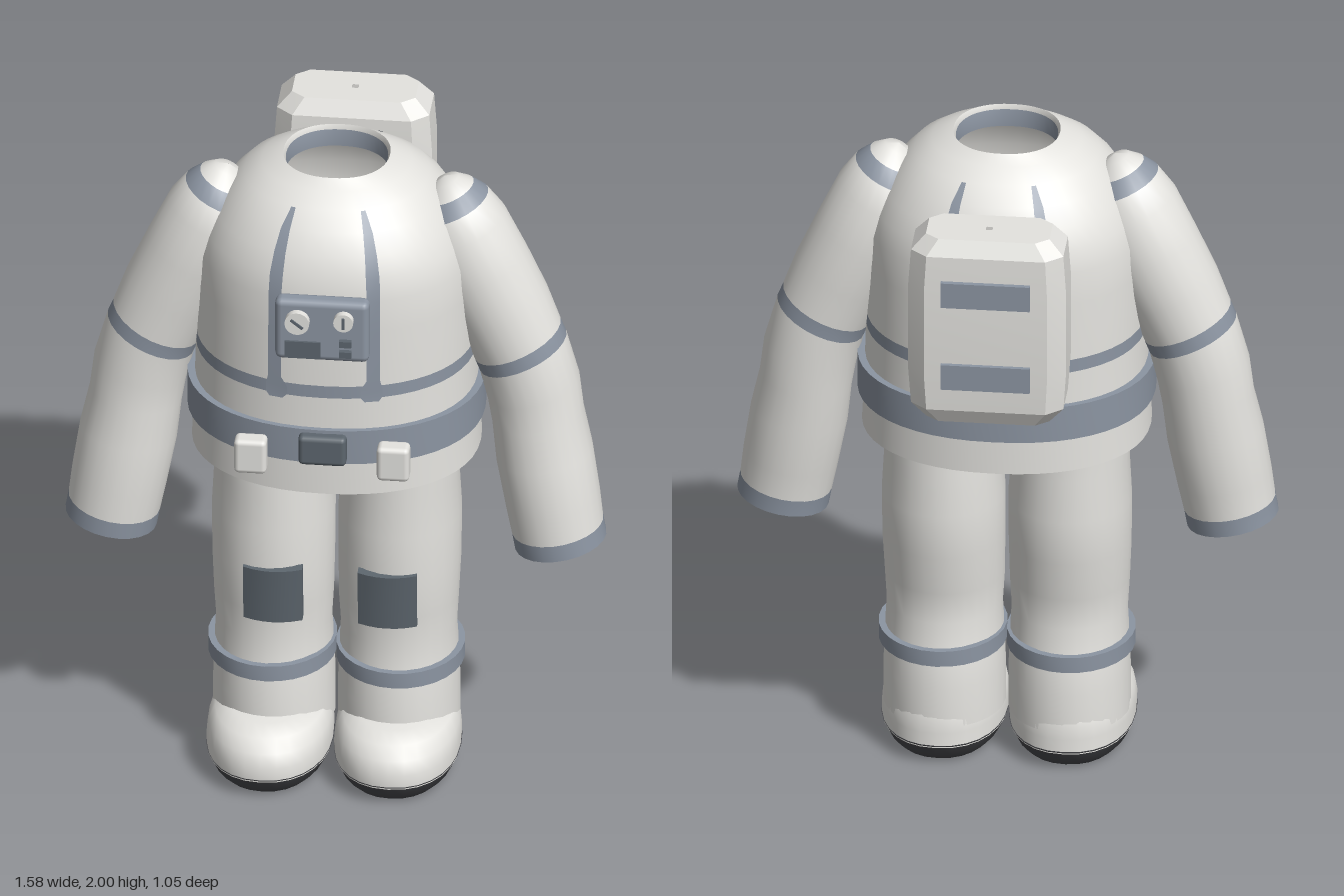
import * as THREE from 'three';
import { toCreasedNormals } from 'three/addons/utils/BufferGeometryUtils.js';
import { RoundedBoxGeometry } from 'three/addons/geometries/RoundedBoxGeometry.js';

const material = (name, color) => {
  const m = new THREE.MeshStandardMaterial({ color, side: THREE.DoubleSide });
  m.name = name;
  return m;
};

// Ring outlines: a superellipse, or a rectangle with cut corners
const oval = (segs, p = 2) => Array.from({ length: segs }, (_, i) => {
  const a = (i / segs) * Math.PI * 2, c = Math.cos(a), s = Math.sin(a);
  return [Math.sign(c) * Math.abs(c) ** (2 / p), Math.sign(s) * Math.abs(s) ** (2 / p)];
});
const cutRect = [[1, -0.6], [1, 0.6], [0.78, 1], [-0.78, 1], [-1, 0.6], [-1, -0.6], [-0.78, -1], [0.78, -1]];

// Skin over rings [x, y, z, rx, rz, tilt], listed from bottom to top; slot(i) picks the material
function loft(rings, outline, slot = () => 0, crease = 0.75) {
  const pos = [], index = [], n = outline.length;
  const g = new THREE.BufferGeometry();
  for (const [x, y, z, rx, rz, tilt = 0] of rings) {
    for (const [u, v] of outline) {
      pos.push(x + u * rx * Math.cos(tilt), y + u * rx * Math.sin(tilt), z + v * rz);
    }
  }
  for (let i = 0; i < rings.length - 1; i++) {
    g.addGroup(index.length, n * 6, slot(i));
    for (let j = 0; j < n; j++) {
      const a = i * n + j, d = i * n + (j + 1) % n;
      index.push(a, a + n, d + n, a, d + n, d);
    }
  }
  g.setAttribute('position', new THREE.Float32BufferAttribute(pos, 3));
  g.setIndex(index);
  return toCreasedNormals(g, crease);
}

export function createModel() {
  const model = new THREE.Group();
  model.name = 'spaceSuit';
  const white = material('suitWhite', 0xe4e3df);
  const grey = material('trimGrey', 0x8c95a2);
  const dark = material('patchDark', 0x5d666e);
  const sole = material('soleDark', 0x48494d);

  const add = (name, geometry, mat, x = 0, y = 0, z = 0, parent = model) => {
    const mesh = new THREE.Mesh(geometry, mat);
    mesh.name = name;
    mesh.position.set(x, y, z);
    parent.add(mesh);
    return mesh;
  };
  const box = (name, w, h, d, mat, x, y, z, r = 0.015) =>
    add(name, new RoundedBoxGeometry(w, h, d, 2, r), mat, x, y, z);

  // Torso: hollow shell with hem, chest band and neck collar
  const P = 2.2, CZ = 0.09;
  const profile = [
    [1.12, 0.385, 0.33], [1.06, 0.39, 0.335], [1.06, 0.42, 0.362], [1.2, 0.413, 0.361], [1.38, 0.408, 0.36],
    [1.42, 0.407, 0.36], [1.6, 0.405, 0.358], [1.7, 0.4, 0.355], [1.77, 0.382, 0.344], [1.83, 0.352, 0.32],
    [1.89, 0.313, 0.285], [1.94, 0.268, 0.238], [1.975, 0.218, 0.188], [1.995, 0.17, 0.16],
    [2.0, 0.155, 0.155], [1.985, 0.148, 0.15], [1.93, 0.15, 0.15],
  ];
  const last = profile.length - 2;
  add('torso', loft(profile.map(([y, rx, rz]) => [0, y, CZ, rx, rz]), oval(48, P),
    i => (i === 4 || i >= last ? 1 : 0)), [white, grey]);

  // Harness straps lying on the torso surface, front and back
  const torsoDepth = (x, y) => {
    let i = 2;
    while (profile[i + 1][0] < y) i++;
    const [y0, a0, b0] = profile[i], [y1, a1, b1] = profile[i + 1];
    const t = (y - y0) / (y1 - y0), rx = a0 + (a1 - a0) * t, rz = b0 + (b1 - b0) * t;
    return rz * (1 - (Math.abs(x) / rx) ** P) ** (1 / P) + 0.005;
  };
  const strapEdges = [
    [1.37, 0.12, 0.16], [1.385, 0.107, 0.17], [1.41, 0.107, 0.17], [1.44, 0.125, 0.163], [1.6, 0.125, 0.163],
    [1.7, 0.125, 0.163], [1.77, 0.121, 0.16], [1.83, 0.116, 0.15], [1.89, 0.107, 0.134], [1.94, 0.095, 0.108],
  ];
  for (const side of [1, -1]) for (const face of [1, -1]) {
    const pos = [], index = [];
    strapEdges.forEach(([y, a, b], i) => {
      for (const x of [a, b]) pos.push(side * x, y, CZ + face * torsoDepth(x, y));
      const k = i * 2;
      if (i) {
        if (side * face > 0) index.push(k - 2, k - 1, k + 1, k - 2, k + 1, k);
        else index.push(k - 2, k + 1, k - 1, k - 2, k, k + 1);
      }
    });
    const g = new THREE.BufferGeometry();
    g.setAttribute('position', new THREE.Float32BufferAttribute(pos, 3));
    g.setIndex(index);
    g.computeVertexNormals();
    add('harnessStrap', g, grey);
  }

  // Belt, buckle and pouches
  const hoop = (x, z, y0, y1, rx, rz, t) => [[x, y0, z, rx - t, rz - t], [x, y0, z, rx, rz],
    [x, y1, z, rx, rz], [x, y1, z, rx - t, rz - t]];
  add('belt', loft(hoop(0, CZ, 1.17, 1.28, 0.433, 0.376, 0.025), oval(48, P)), grey);
  box('buckle', 0.14, 0.095, 0.05, dark, 0, 1.222, 0.47);
  for (const side of [1, -1]) box('beltPouch', 0.095, 0.11, 0.06, white, side * 0.208, 1.2, 0.482);

  // Chest control panel with gauges, screen and buttons
  box('controlPanel', 0.275, 0.2, 0.055, grey, 0, 1.63, 0.472, 0.02);
  for (const [x, y, r, turn] of [[-0.07, 1.665, 0.036, 0.9], [0.065, 1.675, 0.029, 0]]) {
    const dial = add('gauge', new THREE.CylinderGeometry(r, r, 0.025, 20), white, x, y, 0.508);
    dial.rotation.x = Math.PI / 2;
    const needle = add('gaugeNeedle', new THREE.BoxGeometry(0.008, r * 1.2, 0.006), dark, x, y, 0.522);
    needle.rotation.z = turn;
  }
  add('panelScreen', new THREE.BoxGeometry(0.105, 0.055, 0.009), dark, -0.055, 1.57, 0.502);
  for (const y of [1.6, 1.565]) add('panelButton', new THREE.BoxGeometry(0.036, 0.02, 0.02), dark, 0.07, y, 0.505);

  // Backpack with two rear plates
  const pack = [[1.335, 0.01, 0.01], [1.335, 0.18, 0.08], [1.385, 0.222, 0.106], [1.5, 0.23, 0.112], [1.77, 0.23, 0.112],
    [1.885, 0.222, 0.106], [1.932, 0.18, 0.08], [1.932, 0.01, 0.01]];
  add('backpack', loft(pack.map(([y, w, d]) => [0, y, -0.4, w, d]), cutRect, () => 0, 0.3), white);
  for (const y of [1.77, 1.502]) add('backpackPlate', new THREE.BoxGeometry(0.26, 0.08, 0.016), grey, 0, y, -0.517);

  // Arms, legs and boots
  const armRings = [
    [0.655, 0.755, 0.117, 0.135, 0.18], [0.646, 0.805, 0.116, 0.135, 0.18], [0.632, 0.89, 0.11, 0.139, 0.17],
    [0.606, 1.04, 0.1, 0.142, 0.14], [0.586, 1.16, 0.09, 0.135, 0.15], [0.573, 1.25, 0.087, 0.138, 0.25],
    [0.542, 1.365, 0.087, 0.138, 0.42], [0.526, 1.405, 0.087, 0.138, 0.43], [0.48, 1.51, 0.086, 0.145, 0.43],
    [0.418, 1.64, 0.085, 0.147, 0.42], [0.36, 1.77, 0.088, 0.142, 0.41], [0.335, 1.845, 0.09, 0.115, 0.41],
    [0.325, 1.89, 0.09, 0.08, 0.41], [0.318, 1.925, 0.09, 0.04, 0.41], [0.315, 1.938, 0.09, 0.001, 0.41],
  ];
  const legRings = [
    [0.13, 0.182, 0.095, 0.178, 0.2], [0.25, 0.182, 0.095, 0.178, 0.197], [0.36, 0.182, 0.095, 0.174, 0.185],
    [0.45, 0.182, 0.1, 0.169, 0.168], [0.55, 0.182, 0.102, 0.175, 0.178], [0.68, 0.184, 0.092, 0.179, 0.196],
    [0.82, 0.184, 0.087, 0.18, 0.197], [0.95, 0.186, 0.09, 0.171, 0.19], [1.06, 0.19, 0.09, 0.172, 0.19],
    [1.2, 0.19, 0.09, 0.165, 0.185], [1.23, 0.19, 0.09, 0.001, 0.001],
  ];
  const bootRings = [
    [0.065, 0.16, 0.182, 0.272], [0.11, 0.163, 0.183, 0.271], [0.15, 0.155, 0.178, 0.262],
    [0.185, 0.145, 0.16, 0.24], [0.205, 0.14, 0.12, 0.19], [0.212, 0.14, 0.001, 0.001],
  ];
  const soleRings = [[0.005, 0.16, 0.001, 0.001], [0.008, 0.16, 0.145, 0.225], [0.03, 0.16, 0.165, 0.25],
    [0.072, 0.16, 0.184, 0.274], [0.072, 0.16, 0.15, 0.24]];

  for (const side of [1, -1]) {
    add('arm', loft(armRings.map(([x, y, z, r, tilt]) => [side * x, y, z, r, r, side * tilt]), oval(24),
      i => ([0, 6, 11].includes(i) ? 1 : 0)), [white, grey]);
    add('leg', loft(legRings.map(([y, x, z, rx, rz]) => [side * x, y, z, rx, rz]), oval(28)), white);
    add('ankleBand', loft(hoop(side * 0.187, 0.097, 0.333, 0.382, 0.187, 0.211, 0.02), oval(28)), grey);
    const foot = rings => rings.map(([y, z, rx, rz]) => [side * 0.186, y, z, rx, rz]);
    add('boot', loft(foot(bootRings), oval(28, 2.2)), white);
    add('bootSole', loft(foot(soleRings), oval(28, 2.2)), sole);

    // Knee patch bent around the leg
    const patch = new THREE.BoxGeometry(0.172, 0.178, 0.03, 6, 1, 1);
    const p = patch.attributes.position;
    for (let i = 0; i < p.count; i++) p.setZ(i, p.getZ(i) - 2.6 * p.getX(i) ** 2);
    patch.computeVertexNormals();
    add('kneePatch', patch, dark, side * 0.167, 0.612, 0.282).rotation.x = 0.08;
  }
  return model;
}
